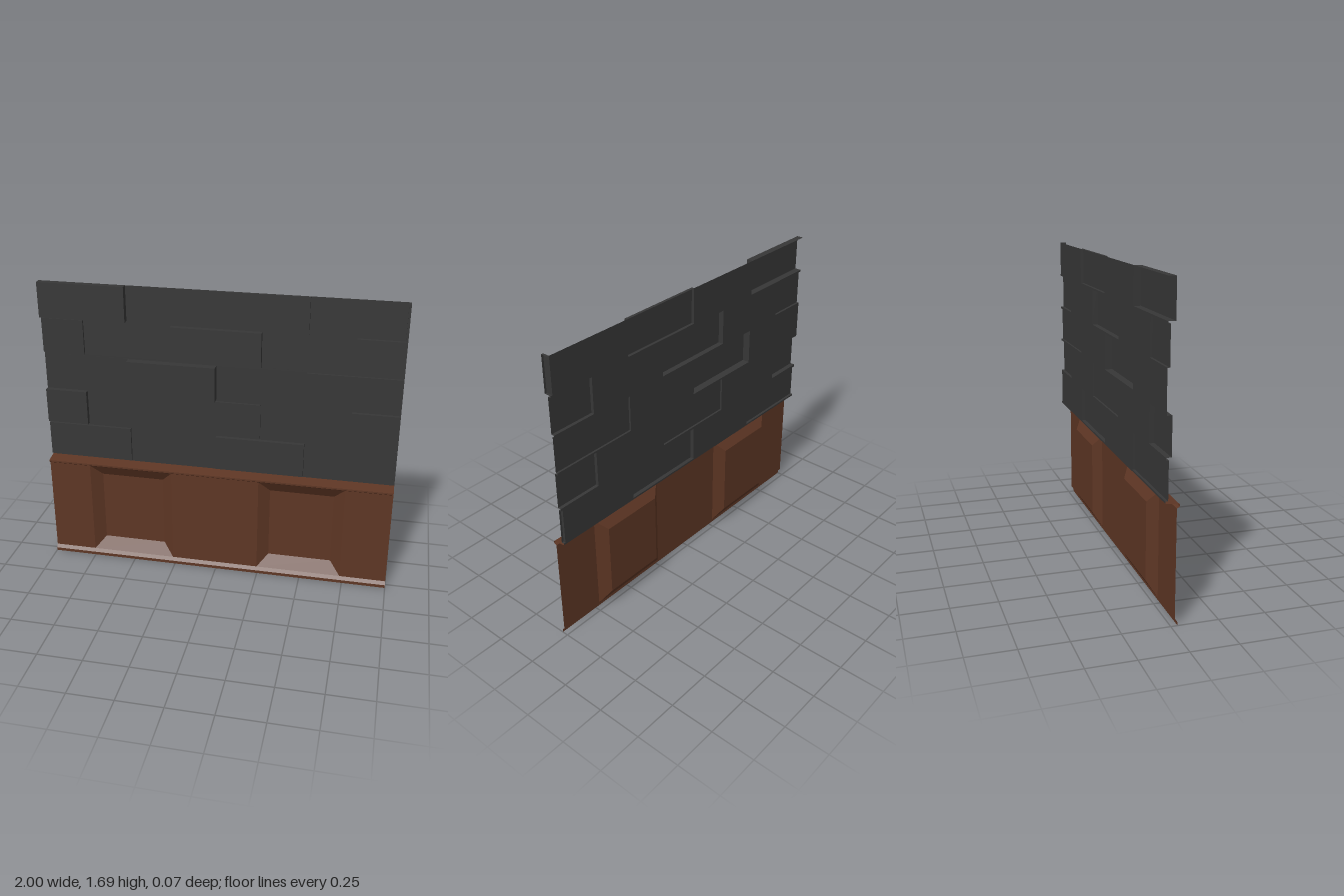
import * as THREE from 'three';

const stone = new THREE.MeshStandardMaterial({ color: 0x373737, side: THREE.DoubleSide });
stone.name = 'dark stone';
const wood = new THREE.MeshStandardMaterial({ color: 0x5e3624, side: THREE.DoubleSide });
wood.name = 'brown wood';

const BACK = -0.038, TOP = 1.69, LEDGE = 0.635;

// Flat-shaded mesh from four-cornered faces, corners counter-clockwise
function quadMesh(name, material, quads) {
  const points = quads.flatMap(([a, b, c, d]) => [a, b, c, a, c, d]);
  const geometry = new THREE.BufferGeometry();
  geometry.setAttribute('position', new THREE.Float32BufferAttribute(points.flat(), 3));
  geometry.computeVertexNormals();
  const mesh = new THREE.Mesh(geometry, material);
  mesh.name = name;
  return mesh;
}

// Four corners of an upright rectangle at depth z
const rect = (x0, x1, y0, y1, z) => [[x0, y0, z], [x1, y0, z], [x1, y1, z], [x0, y1, z]];

// Sloping or straight walls joining two rectangles, skipping any on the panel's ends
function walls(outer, inner) {
  const result = [];
  for (let i = 0; i < 4; i++) {
    const j = (i + 1) % 4;
    const onEnd = Math.abs(outer[i][0]) === 1 && outer[i][0] === outer[j][0];
    if (!onEnd) result.push([outer[i], outer[j], inner[j], inner[i]]);
  }
  return result;
}

export function createModel() {
  const group = new THREE.Group();
  group.name = 'wallPanel';

  // Raised bricks by row, bottom to top: [left, right, front depth]
  const rows = [
    { y0: 0.645, y1: 0.845, bricks: [[-1, -0.51, -0.024], [-0.01, 0.49, -0.016], [0.988, 1, -0.024]] },
    { y0: 0.858, y1: 1.058, bricks: [[-1, -0.76, -0.01], [-0.26, 0.24, -0.027], [0.74, 1, -0.02]] },
    { y0: 1.068, y1: 1.268, bricks: [[-0.51, -0.01, 0.005], [0.49, 1, -0.027]] },
    { y0: 1.28, y1: 1.48, bricks: [[-1, -0.76, -0.025], [-0.26, 0.24, -0.008], [0.74, 1, -0.02]] },
    { y0: 1.49, y1: TOP, bricks: [[-1, -0.51, 0], [-0.01, 0.49, -0.022], [0.988, 1, 0]] },
  ];

  // Flat stone between the bricks, left open behind each brick
  const flat = [];
  let y = LEDGE;
  rows.forEach(({ y0, y1, bricks }, r) => {
    flat.push(rect(-1, 1, y, y0, BACK));
    let x = -1;
    for (const [x0, x1, z] of bricks) {
      if (x0 > x) flat.push(rect(x, x0, y0, y1, BACK));
      x = x1;
      const front = rect(x0, x1, y0, y1, z);
      group.add(quadMesh(`brickRow${r + 1}`, stone,
        [front, ...walls(rect(x0, x1, y0, y1, BACK), front)]));
    }
    if (x < 1) flat.push(rect(x, 1, y0, y1, BACK));
    y = y1;
  });
  group.add(quadMesh('flatStone', stone, flat));

  // Wooden boards with bevelled recesses
  const y0 = 0.036, y1 = 0.604, face = 0.02;
  const boards = [];
  let edge = -1;
  for (const [x0, x1] of [[-0.755, -0.265], [0.245, 0.735]]) {
    boards.push(rect(edge, x0, y0, y1, face));
    const inner = rect(x0 + 0.062, x1 - 0.062, 0.107, 0.535, -0.025);
    group.add(quadMesh('recessedPanel', wood, [inner, ...walls(rect(x0, x1, y0, y1, face), inner)]));
    edge = x1;
  }
  boards.push(rect(edge, 1, y0, y1, face));
  group.add(quadMesh('boards', wood, boards));

  // Trim strips swept along x from a [y, z] profile, bottom to top
  const strip = (name, profile) => group.add(quadMesh(name, wood,
    profile.slice(1).map(([yb, zb], i) => {
      const [ya, za] = profile[i];
      return [[-1, ya, za], [1, ya, za], [1, yb, zb], [-1, yb, zb]];
    })));
  strip('baseTrim', [[0, 0.035], [0.018, 0.035], [y0, face]]);
  strip('ledge', [[y1, face], [0.614, 0.035], [0.624, 0.035], [LEDGE, BACK]]);

  return group;
}
